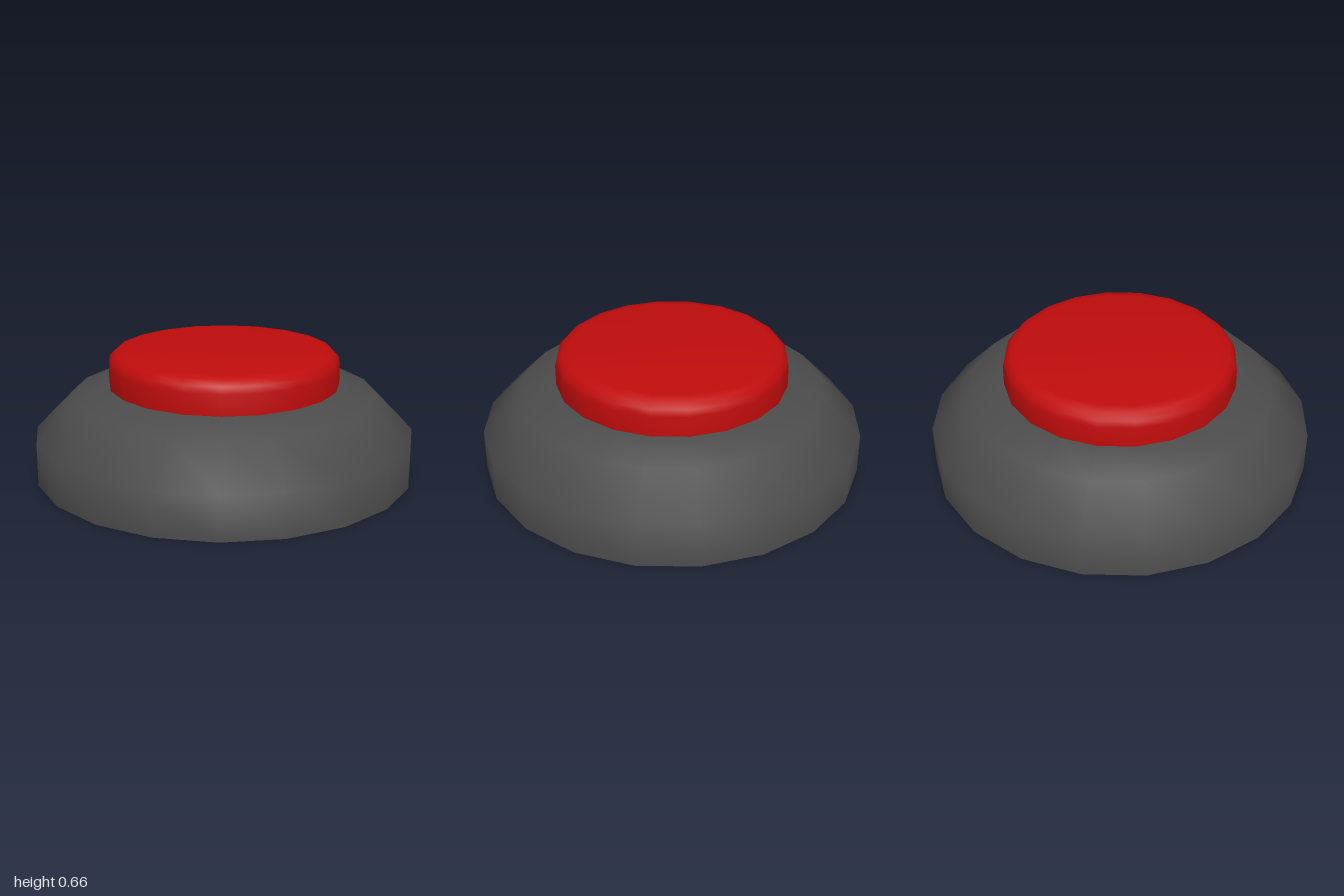
import * as THREE from 'three';
import { toCreasedNormals } from 'three/addons/utils/BufferGeometryUtils.js';

const SIDES = 20;

// Turned part from [radius, height] pairs, smooth except at sharp rims
function turned(name, profile, color) {
  const points = profile.map(([r, y]) => new THREE.Vector2(r, y));
  const geometry = toCreasedNormals(new THREE.LatheGeometry(points, SIDES), THREE.MathUtils.degToRad(50));
  const mesh = new THREE.Mesh(geometry, new THREE.MeshStandardMaterial({ color }));
  mesh.name = name;
  return mesh;
}

export function createModel() {
  const model = new THREE.Group();
  model.name = 'pushButton';

  // Housing: flat underside, short wall, sloped shoulder
  model.add(turned('housing', [
    [0, 0], [1, 0], [1, 0.22], [0.8, 0.425], [0.6, 0.478], [0, 0.478],
  ], 0x4c4c4c));

  // Button cap: straight side, rounded rim, flat top
  model.add(turned('buttonCap', [
    [0.607, 0.476], [0.607, 0.585], [0.598, 0.62], [0.57, 0.648], [0.52, 0.657], [0, 0.657],
  ], 0xc00c0c));

  return model;
}
